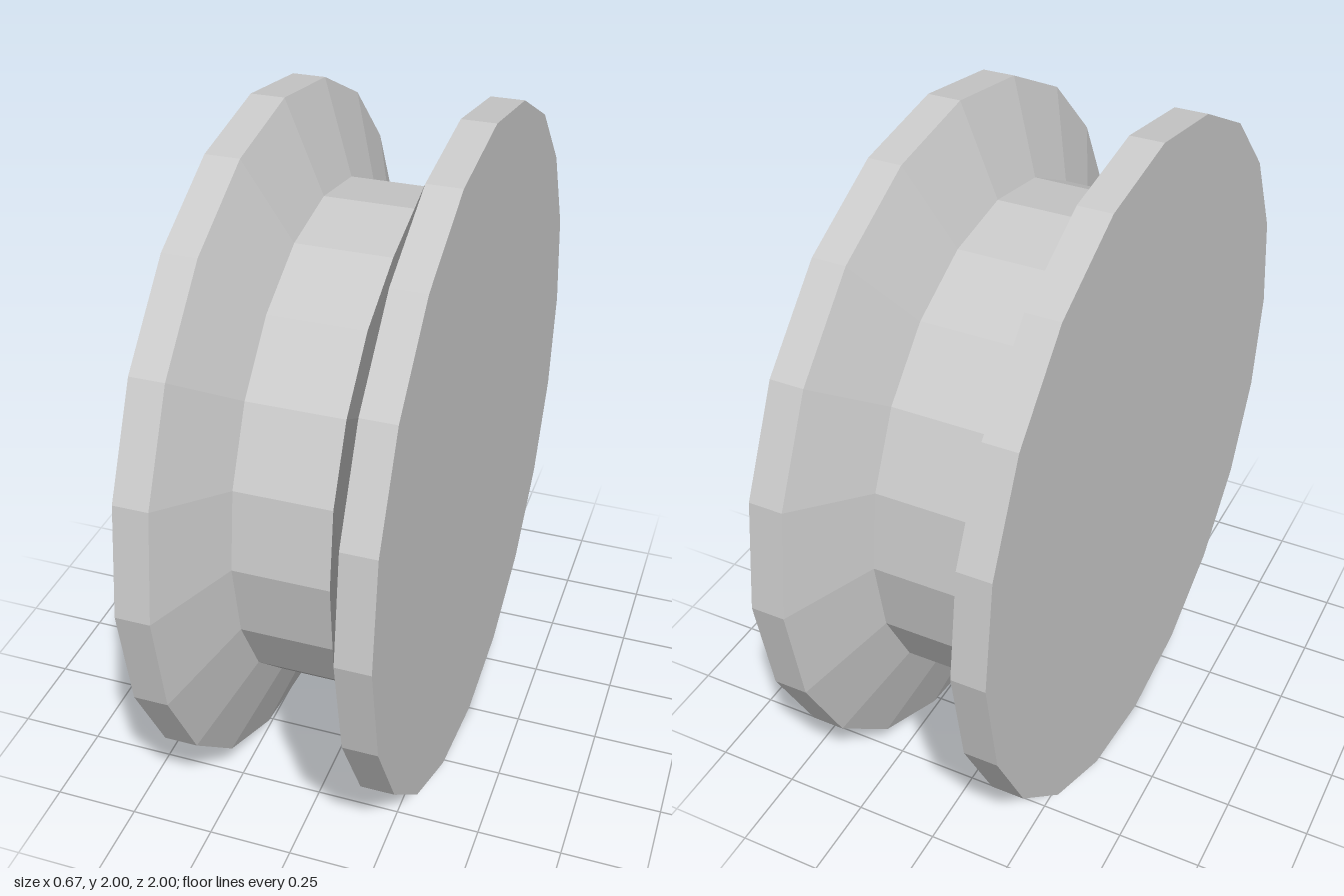
import * as THREE from 'three';

const SIDES = 20;
const RIM_RADIUS = 1;
const HUB_RADIUS = 0.735;
const HALF_WIDTH = 0.336; // outer face of each flange
const RIM_INNER = 0.24;   // inner edge of each rim
const HUB_HALF = 0.135;   // half width of the groove floor

export function createModel() {
  const model = new THREE.Group();
  model.name = 'grooved wheel';

  // One half of the profile, from the groove floor out to the flat face
  const half = [
    [HUB_RADIUS, HUB_HALF],
    [RIM_RADIUS, RIM_INNER],
    [RIM_RADIUS, HALF_WIDTH],
    [0, HALF_WIDTH],
  ];
  const profile = [
    ...half.map(([r, h]) => new THREE.Vector2(r, -h)).reverse(),
    ...half.map(([r, h]) => new THREE.Vector2(r, h)),
  ];

  // Closed faceted wheel, turned so its axle runs along x
  const geometry = new THREE.LatheGeometry(profile, SIDES);
  geometry.rotateZ(-Math.PI / 2);
  const material = new THREE.MeshStandardMaterial({ color: 0xcccccc, flatShading: true });
  const wheel = new THREE.Mesh(geometry, material);
  wheel.name = 'wheel';
  wheel.position.y = RIM_RADIUS;
  model.add(wheel);

  return model;
}
